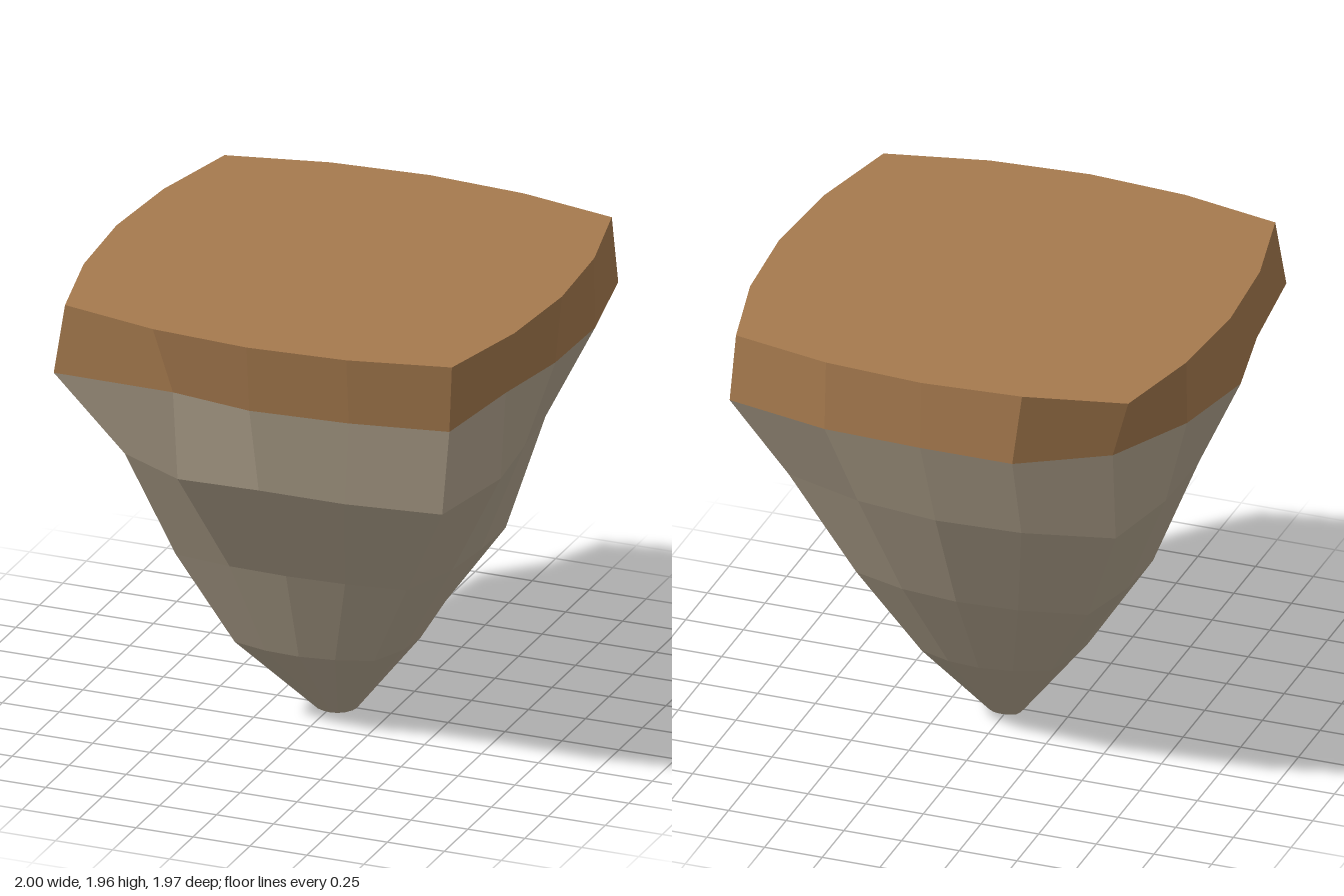
import * as THREE from 'three';

const soil = new THREE.MeshStandardMaterial({ color: 0xa67a4e });
soil.name = 'brown soil';
const stone = new THREE.MeshStandardMaterial({ color: 0xb2a48e });
stone.name = 'grey stone';

// Sixteen points around a level: a bulging square given by its corners and
// side middles as [x, z], starting at the front of the -x side and running
// along the front towards +x. Quarter points lie on a parabola per side,
// and "dents" moves single points to roughen the outline.
function makeRing(y, corners, middles, dents = {}) {
  const points = [];
  corners.forEach((a, side) => {
    const b = corners[(side + 1) % 4];
    const m = middles[side];
    const mix = (p, q) => [0, 1].map((i) => 0.375 * p[i] + 0.75 * m[i] - 0.125 * q[i]);
    points.push(a, mix(a, b), m, mix(b, a));
  });
  return points.map((p, i) => {
    const [x, z] = dents[i] ?? p;
    return new THREE.Vector3(x, y, z);
  });
}

// Four-sided facets, each with one flat normal
function facetedMesh(name, quads, material) {
  const positions = [], normals = [];
  for (const [a, b, c, d] of quads) {
    const normal = c.clone().sub(a).cross(d.clone().sub(b)).normalize();
    for (const p of [a, b, d, b, c, d]) {
      positions.push(...p.toArray());
      normals.push(...normal.toArray());
    }
  }
  const geometry = new THREE.BufferGeometry();
  geometry.setAttribute('position', new THREE.Float32BufferAttribute(positions, 3));
  geometry.setAttribute('normal', new THREE.Float32BufferAttribute(normals, 3));
  const mesh = new THREE.Mesh(geometry, material);
  mesh.name = name;
  return mesh;
}

// Walls between successive rings
function walls(...rings) {
  return rings.slice(1).flatMap((high, r) => rings[r].map((a, i) => {
    const j = (i + 1) % high.length;
    return [a, rings[r][j], high[j], high[i]];
  }));
}

// Flat cap over one ring, two outline edges per facet
function cap(ring, facesUp) {
  const outline = facesUp ? ring : [...ring].reverse();
  const centre = new THREE.Vector3(0.02, ring[0].y, 0);
  const quads = [];
  for (let i = 0; i < outline.length; i += 2) {
    quads.push([outline[i], outline[i + 1], outline[(i + 2) % outline.length], centre]);
  }
  return quads;
}

export function createModel() {
  const group = new THREE.Group();
  group.name = 'floatingIsland';

  // Outlines from the tip up to the ground
  const tip = makeRing(0,
    [[-0.045, 0.065], [0.075, 0.06], [0.07, -0.05], [-0.045, -0.055]],
    [[0.02, 0.085], [0.1, 0], [0.02, -0.07], [-0.06, 0]]);
  const lower = makeRing(0.355,
    [[-0.3, 0.33], [0.3, 0.3], [0.27, -0.3], [-0.28, -0.28]],
    [[0, 0.375], [0.38, 0], [0, -0.36], [-0.34, 0]]);
  const middle = makeRing(0.785,
    [[-0.48, 0.52], [0.53, 0.51], [0.47, -0.52], [-0.54, -0.54]],
    [[0.02, 0.56], [0.645, 0], [0, -0.62], [-0.62, 0]],
    { 5: [0.62, 0.25], 7: [0.65, -0.25] });
  const upper = makeRing(1.275,
    [[-0.63, 0.7], [0.805, 0.8], [0.7, -0.69], [-0.74, -0.75]],
    [[0.02, 0.85], [0.84, 0.01], [0, -0.86], [-0.82, 0]],
    { 1: [-0.33, 0.865], 5: [0.88, 0.36], 7: [0.8, -0.31] });
  const rim = makeRing(1.665,
    [[-0.865, 0.885], [0.855, 0.845], [0.89, -0.865], [-0.735, -0.77]],
    [[0.02, 0.95], [0.975, 0.01], [0.02, -0.985], [-1, 0]],
    { 1: [-0.34, 0.89], 5: [0.91, 0.38], 7: [0.985, -0.39], 11: [-0.38, -0.985], 15: [-0.92, 0.4] });
  const ground = makeRing(1.955,
    [[-0.83, 0.85], [0.87, 0.855], [0.87, -0.845], [-0.83, -0.845]],
    [[0.02, 0.98], [1, 0], [0.02, -0.97], [-0.955, 0]]);

  group.add(
    // Tapering rock underside
    facetedMesh('rockBody', walls(tip, lower, middle, upper, rim), stone),
    // Soil band and ground surface
    facetedMesh('soilBand', walls(rim, ground), soil),
    facetedMesh('groundSurface', cap(ground, true), soil),
    // Small tip at the bottom
    facetedMesh('bottomTip', cap(tip, false), soil),
  );
  return group;
}
